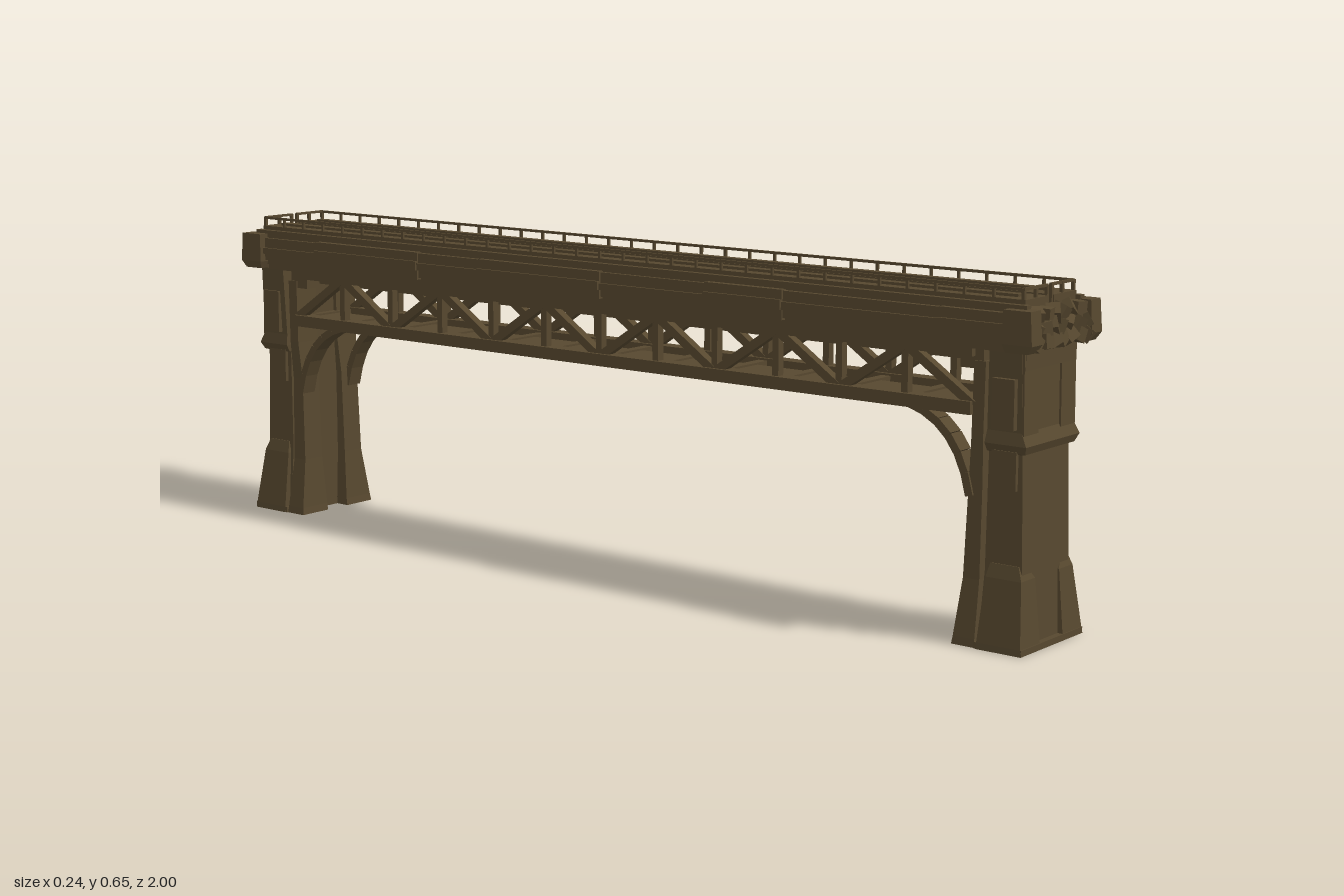
import * as THREE from 'three';

const stone = new THREE.MeshStandardMaterial({ color: 0x57482f, flatShading: true });
stone.name = 'weathered brown';

let seed = 11;
const rnd = () => (seed = (seed * 16807) % 2147483647) / 2147483647;
const jitter = (a) => (rnd() - 0.5) * 2 * a;

function add(parent, name, geo) {
  const m = new THREE.Mesh(geo, stone);
  m.name = name;
  parent.add(m);
  return m;
}

// box given by its min and max corners
function block(parent, name, x0, x1, y0, y1, z0, z1) {
  const m = add(parent, name, new THREE.BoxGeometry(x1 - x0, y1 - y0, z1 - z0));
  m.position.set((x0 + x1) / 2, (y0 + y1) / 2, (z0 + z1) / 2);
  return m;
}

// square bar between two points
function bar(parent, name, a, b, w, h) {
  const p = new THREE.Vector3(...a), q = new THREE.Vector3(...b);
  const m = add(parent, name, new THREE.BoxGeometry(w, h, p.distanceTo(q)));
  m.position.copy(p).add(q).multiplyScalar(0.5);
  m.lookAt(q);
  return m;
}

// stacked rectangular sections, each [y, x0, x1, z0, z1]
function stack(parent, name, levels) {
  const pos = [], idx = [], n = levels.length;
  for (const [y, x0, x1, z0, z1] of levels) pos.push(x0, y, z1, x1, y, z1, x1, y, z0, x0, y, z0);
  for (let i = 0; i < n - 1; i++) {
    for (let k = 0; k < 4; k++) {
      const a = i * 4 + k, b = i * 4 + (k + 1) % 4;
      idx.push(a, b, b + 4, a, b + 4, a + 4);
    }
  }
  const t = (n - 1) * 4;
  idx.push(0, 2, 1, 0, 3, 2, t, t + 1, t + 2, t, t + 2, t + 3);
  const g = new THREE.BufferGeometry();
  g.setAttribute('position', new THREE.Float32BufferAttribute(pos, 3));
  g.setIndex(idx);
  const flat = g.toNonIndexed();
  flat.computeVertexNormals();
  return add(parent, name, flat);
}

// one end pier, standing at +z
function pier() {
  const g = new THREE.Group();
  g.name = 'pier';
  stack(g, 'pierSlab', [
    [0, -0.095, 0.095, 0.885, 0.97], [0.14, -0.081, 0.081, 0.888, 0.964],
    [0.355, -0.08, 0.08, 0.89, 0.958], [0.357, -0.084, 0.086, 0.888, 0.966],
    [0.372, -0.093, 0.094, 0.888, 0.972], [0.395, -0.088, 0.09, 0.89, 0.96],
    [0.54, -0.09, 0.097, 0.892, 0.958]]);
  // raised frame of the upper panel
  for (const x of [-0.088, 0.09]) {
    const s = Math.sign(x);
    stack(g, 'panelPost', [
      [0.39, Math.min(x, x - s * 0.05), Math.max(x, x - s * 0.05), 0.95, 0.964],
      [0.54, Math.min(x, x - s * 0.05), Math.max(x, x - s * 0.05), 0.95, 0.962]]);
  }
  block(g, 'panelLintel', -0.085, 0.09, 0.505, 0.545, 0.95, 0.963);

  // base plate, corner buttresses and front blocks
  block(g, 'basePlate', -0.108, 0.108, 0, 0.012, 0.885, 0.982);
  for (const s of [-1, 1]) {
    const span = (a, b) => s > 0 ? [a, b] : [-b, -a];
    stack(g, 'buttress', [
      [0, ...span(0.04, 0.109), 0.89, 0.982], [0.012, ...span(0.04, 0.108), 0.89, 0.98],
      [0.13, ...span(0.042, 0.09), 0.895, 0.968], [0.155, ...span(0.06, 0.083), 0.9, 0.958]]);
    // inner column with flared foot
    stack(g, 'innerColumn', [
      [0, ...span(0.03, 0.105), 0.836, 0.884], [0.015, ...span(0.03, 0.103), 0.838, 0.883],
      [0.12, ...span(0.035, 0.086), 0.846, 0.88], [0.3, ...span(0.035, 0.083), 0.852, 0.88],
      [0.38, ...span(0.03, 0.088), 0.858, 0.882], [0.515, ...span(0.03, 0.088), 0.86, 0.884]]);
    block(g, 'sidePilaster', ...span(0.076, 0.088), 0.29, 0.36, 0.9, 0.95);
    block(g, 'sidePilaster', ...span(0.085, 0.1), 0.4, 0.49, 0.905, 0.95);
    // curved knee brace
    const curve = new THREE.QuadraticBezierCurve3(
      new THREE.Vector3(s * 0.07, 0.27, 0.855),
      new THREE.Vector3(s * 0.07, 0.4, 0.83),
      new THREE.Vector3(s * 0.07, 0.425, 0.72));
    const pts = curve.getPoints(6);
    for (let i = 0; i < 6; i++) bar(g, 'kneeBrace', pts[i].toArray(), pts[i + 1].toArray(), 0.035, 0.016);
  }
  block(g, 'pierWeb', -0.045, 0.045, 0, 0.5, 0.868, 0.895);
  block(g, 'columnCap', -0.085, 0.085, 0.5, 0.55, 0.83, 0.878);

  // rough stone cornice
  for (const s of [-1, 1]) {
    const c = stack(g, 'cornerStone', [
      [0.54, s * 0.103 - 0.016, s * 0.103 + 0.014, 0.94, 0.985],
      [0.555, s * 0.104 - 0.018, s * 0.104 + 0.018, 0.935, 0.995],
      [0.615, s * 0.104 - 0.016, s * 0.104 + 0.018, 0.935, 0.99]]);
    c.position.y = 0;
  }
  for (let row = 0; row < 3; row++) {
    const count = row === 2 ? 6 : 7;
    for (let i = 0; i < count; i++) {
      const m = add(g, 'roughStone', new THREE.BoxGeometry(0.027, 0.026, 0.026));
      m.position.set((i - (count - 1) / 2) * 0.029, 0.557 + row * 0.022, 0.979 - row * 0.004 + jitter(0.003));
      m.rotation.set(jitter(0.6), jitter(0.6), jitter(0.7));
    }
  }
  // cross railing over the end
  for (const s of [-1, 1]) {
    bar(g, 'endRail', [s * 0.006, 0.648, 0.955], [s * 0.086, 0.648, 0.955], 0.005, 0.005);
    for (const x of [0.008, 0.045, 0.085]) block(g, 'endPost', s * x - 0.003, s * x + 0.003, 0.61, 0.649, 0.952, 0.958);
  }
  return g;
}

export function createModel() {
  const root = new THREE.Group();
  root.name = 'bridge';

  // piers at both ends
  const front = pier(), back = pier();
  back.rotation.y = Math.PI;
  root.add(front, back);

  const deck = new THREE.Group();
  deck.name = 'deck';
  root.add(deck);
  block(deck, 'deckSlab', -0.1, 0.1, 0.548, 0.61, -0.965, 0.965);
  for (const s of [-1, 1]) {
    const span = (a, b) => s > 0 ? [a, b] : [-b, -a];
    block(deck, 'roadway', ...span(0.009, 0.088), 0.6, 0.63, -0.96, 0.96);
    block(deck, 'roadwayStrip', ...span(0.045, 0.062), 0.625, 0.635, -0.93, 0.93);
    block(deck, 'kerb', ...span(0.085, 0.1), 0.6, 0.622, -0.97, 0.97);
    // side fascia of slightly offset lengths
    const cuts = [-0.97, -0.77, -0.47, -0.3, 0.02, 0.28, 0.46, 0.8, 0.97];
    for (let i = 0; i < cuts.length - 1; i++) {
      const o = [0.004, 0, 0.006, 0.002][(i + (s > 0 ? 0 : 1)) % 4];
      block(deck, 'fascia', ...span(0.09, 0.108 + o), 0.558 - o, 0.606 + o / 2, cuts[i], cuts[i + 1]);
      block(deck, 'fasciaLedge', ...span(0.09, 0.114 + o), 0.572, 0.585 + o, cuts[i], cuts[i + 1]);
    }
    block(deck, 'lowerLedge', ...span(0.08, 0.102), 0.538, 0.56, -0.93, 0.93);
    // thin handrail
    block(deck, 'handrail', ...span(0.083, 0.088), 0.645, 0.65, -0.955, 0.955);
    for (let i = 0; i <= 32; i++) {
      const z = -0.955 + i * 1.91 / 32;
      block(deck, 'railPost', ...span(0.083, 0.088), 0.615, 0.649, z - 0.0025, z + 0.0025);
    }
  }
  // small ties in the centre slot
  for (let i = 0; i < 28; i++) {
    const z = -0.93 + i * 1.86 / 27;
    block(deck, 'slotTie', -0.01, 0.01, 0.605, 0.621, z - 0.012, z + 0.012);
  }

  // side trusses
  const truss = new THREE.Group();
  truss.name = 'truss';
  root.add(truss);
  const panels = 12, L = 0.86, step = 2 * L / panels;
  for (const s of [-1, 1]) {
    const x = s * 0.082;
    block(truss, 'bottomChord', x - 0.016, x + 0.016, 0.418, 0.442, -L, L);
    block(truss, 'topChord', x - 0.014, x + 0.014, 0.522, 0.542, -L, L);
    for (let i = 0; i < panels; i++) {
      const z = -L + i * step, up = i % 2 === 0;
      bar(truss, 'diagonal', [x, up ? 0.435 : 0.53, z], [x, up ? 0.53 : 0.435, z + step], 0.018, 0.017);
      if (i > 0) block(truss, 'post', x - 0.008, x + 0.008, 0.43, 0.535, z - 0.007, z + 0.007);
    }
    block(truss, 'stringer', s * 0.035 - 0.012, s * 0.035 + 0.012, 0.508, 0.55, -L, L);
  }
  // floor and cross ties between the trusses
  block(truss, 'lowerPlank', -0.035, 0.035, 0.422, 0.434, -L, L);
  for (let i = 0; i <= panels; i++) {
    const z = -L + i * step;
    block(truss, 'lowerTie', -0.08, 0.08, 0.422, 0.438, z - 0.01, z + 0.01);
    block(truss, 'upperTie', -0.08, 0.08, 0.525, 0.55, z - 0.01, z + 0.01);
  }
  return root;
}
